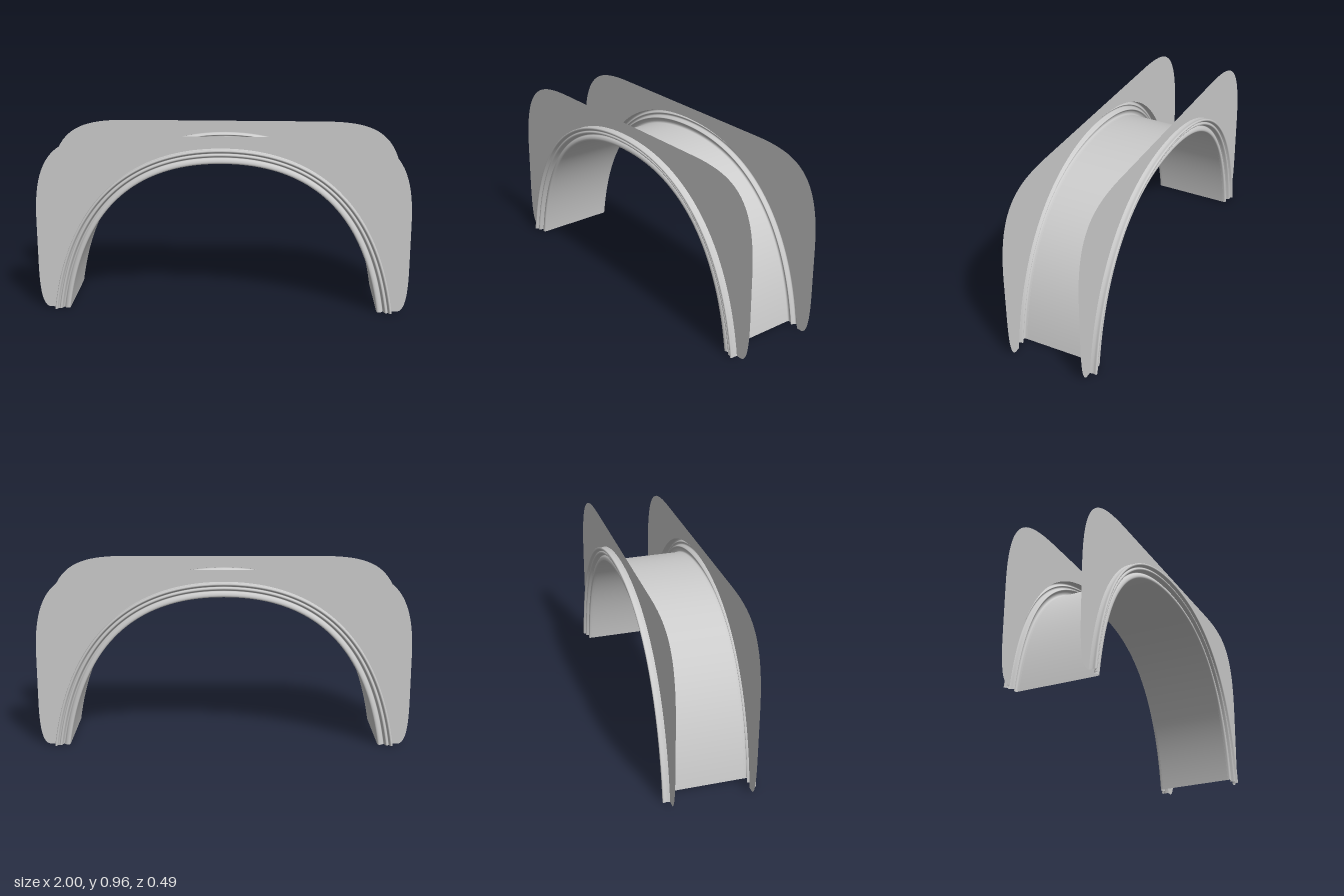
import * as THREE from 'three';
import { ParametricGeometry } from 'three/addons/geometries/ParametricGeometry.js';

const PLATE_Z = 0.209;   // distance of each side wall from the centre
const BARREL = 0.081;    // inset of the vault from the outer arch line

const material = new THREE.MeshStandardMaterial({ color: 0xcccccc, side: THREE.DoubleSide });

// Half of the arch line, inset by d from the outermost line: springing to crown
function halfArch(d) {
  return new THREE.CubicBezierCurve(
    new THREE.Vector2(0.915 - d, 0),
    new THREE.Vector2(0.83 - d, 0.6 - 0.4 * d),
    new THREE.Vector2(0.5 - 0.55 * d, 0.897 - d),
    new THREE.Vector2(0, 0.897 - d)
  );
}

// Point on the full arch, u = 0 at the left springing and 1 at the right one
function archPoint(d, u) {
  const p = halfArch(d).getPoint(u <= 0.5 ? 2 * u : 2 - 2 * u);
  if (u > 0.5) p.x *= -1;
  return p;
}

// Sweeps a section, profile(v) -> { d, z }, along the arch
function sweepArch(profile, alongSteps, acrossSteps) {
  return new ParametricGeometry((u, v, target) => {
    const { d, z } = profile(v);
    const p = archPoint(d, u);
    target.set(p.x, p.y, z);
  }, alongSteps, acrossSteps);
}

function mesh(name, geometry) {
  const m = new THREE.Mesh(geometry, material);
  m.name = name;
  return m;
}

// Flat wall with rounded corners around the arch opening
function wallGeometry() {
  const s = new THREE.Shape();
  s.moveTo(0.915, 0);
  s.lineTo(0.94, 0);
  s.bezierCurveTo(0.985, 0, 1, 0.08, 1, 0.25);
  s.lineTo(1, 0.5);
  s.bezierCurveTo(1, 0.9, 0.85, 0.96, 0.55, 0.96);
  s.lineTo(-0.55, 0.96);
  s.bezierCurveTo(-0.85, 0.96, -1, 0.9, -1, 0.5);
  s.lineTo(-1, 0.25);
  s.bezierCurveTo(-1, 0.08, -0.985, 0, -0.94, 0);
  s.lineTo(-0.915, 0);
  for (let i = 1; i < 80; i++) {
    const p = archPoint(0, 1 - i / 80);
    s.lineTo(p.x, p.y);
  }
  return new THREE.ShapeGeometry(s, 24);
}

// Moulding section from the vault edge out to the wall: x = inset, y = z
const moulding = new THREE.SplineCurve([
  [BARREL, PLATE_Z], [0.079, 0.222], [0.07, 0.226], [0.058, 0.222],
  [0.048, 0.212], [0.043, 0.218], [0.037, 0.234], [0.029, 0.236],
  [0.022, 0.230], [0.017, 0.236], [0.012, 0.245], [0.005, 0.246],
  [0.001, 0.241], [0.003, 0.226], [0, PLATE_Z]
].map(([d, z]) => new THREE.Vector2(d, z)));

export function createModel() {
  const model = new THREE.Group();
  model.name = 'archedVault';

  // Barrel vault between the two walls
  model.add(mesh('barrelVault',
    sweepArch(v => ({ d: BARREL, z: PLATE_Z * (1 - 2 * v) }), 80, 2)));

  // Wall and arch moulding, repeated on the front and back
  const wall = wallGeometry();
  const trim = sweepArch(v => {
    const p = moulding.getPoint(v);
    return { d: p.x, z: p.y };
  }, 80, 56);

  for (const [name, angle] of [['front', 0], ['back', Math.PI]]) {
    const side = new THREE.Group();
    side.name = name + 'Side';
    const plate = mesh(name + 'Wall', wall);
    plate.position.z = PLATE_Z;
    side.add(plate, mesh(name + 'ArchMoulding', trim));
    side.rotation.y = angle;
    model.add(side);
  }
  return model;
}
